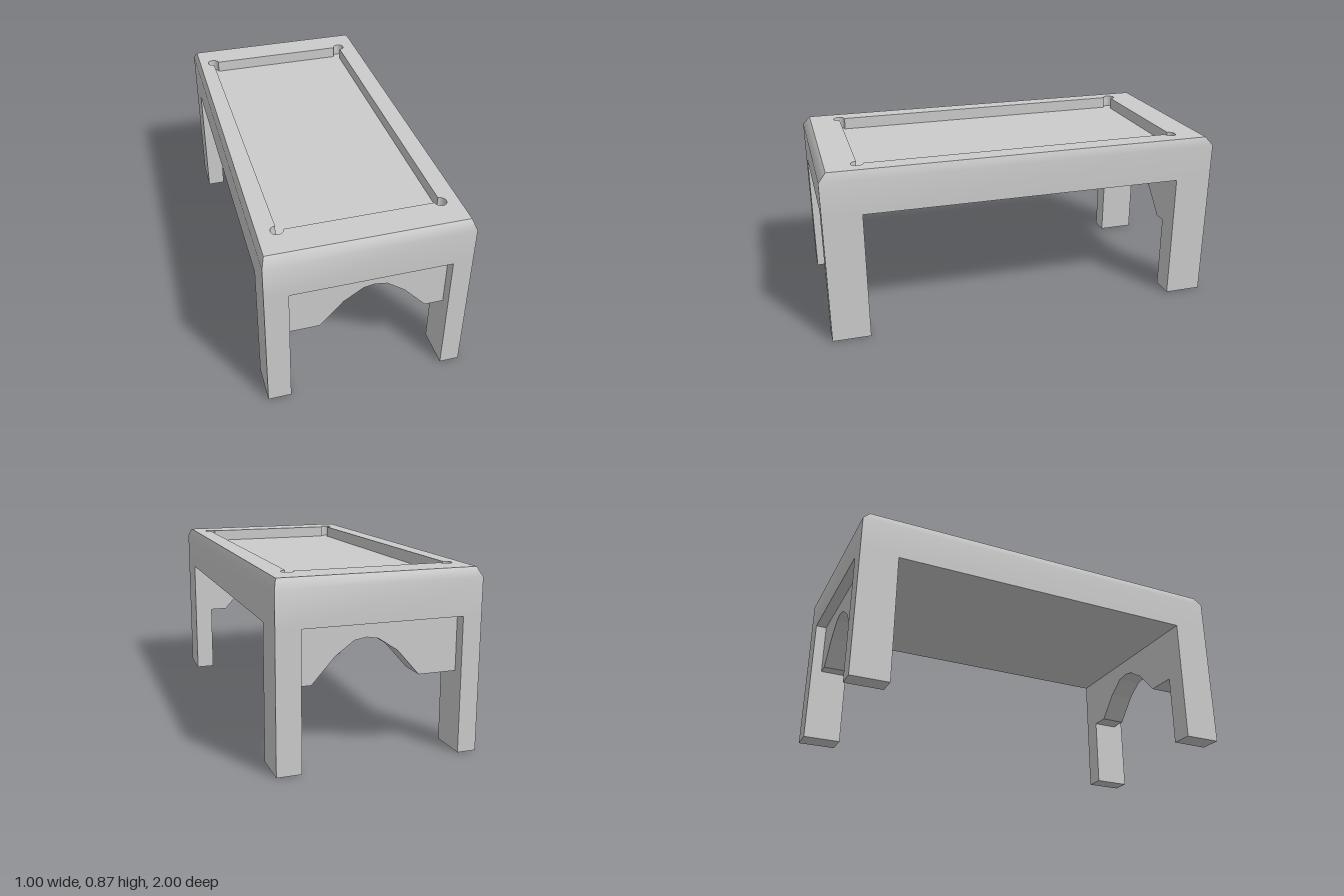
import * as THREE from 'three';

const material = new THREE.MeshStandardMaterial({ color: 0xcccccc });
const UNDER = 0.655, SHOULDER = 0.83, TOP = 0.873, FLOOR = 0.813;

function addMesh(parent, name, geometry) {
  const mesh = new THREE.Mesh(geometry, material);
  mesh.name = name;
  parent.add(mesh);
  return mesh;
}

const toShape = (points) => new THREE.Shape(points.map(([x, y]) => new THREE.Vector2(x, y)));

// Extrude a plan outline given as [x, -z] upward from y0 to y1
function extrudeUp(shape, y0, y1) {
  const geometry = new THREE.ExtrudeGeometry(shape, { depth: y1 - y0, bevelEnabled: false });
  return geometry.rotateX(-Math.PI / 2).translate(0, y0, 0);
}

// Slightly skewed plan of the table, inset by dx and dz, as [x, -z] corners
function planCorners(dx, dz) {
  return [[1, 1], [-1, 1], [-1, -1], [1, -1]].map(([sx, sy]) => {
    const y = sy * (1 - dz);
    return [sx * (0.49 - dx) + 0.01 * y, y];
  });
}

// Outer skin: upright band and chamfer, smooth over the shoulder, sharp at corners
function skinGeometry() {
  const loops = [[UNDER, 0, 0], [SHOULDER, 0, 0], [TOP, 0.016, 0.037]]
    .map(([y, dx, dz]) => planCorners(dx, dz).map(([x, py]) => [x, y, -py]));
  const positions = [], index = [];
  for (let side = 0; side < 4; side++) {
    const start = positions.length / 3;
    for (const loop of loops) positions.push(...loop[side], ...loop[(side + 1) % 4]);
    for (let i = 0; i < 2; i++) {
      const a = start + i * 2;
      index.push(a, a + 1, a + 3, a, a + 3, a + 2);
    }
  }
  const geometry = new THREE.BufferGeometry();
  geometry.setAttribute('position', new THREE.Float32BufferAttribute(positions, 3));
  geometry.setIndex(index);
  geometry.computeVertexNormals();
  return geometry;
}

// Playing-field outline with a round pocket at each corner
function fieldOutline() {
  const points = [], radius = 0.03, steps = 12;
  [[0.385, 0.81], [-0.39, 0.81], [-0.39, -0.81], [0.377, -0.81]].forEach(([cx, cy], k) => {
    for (let i = 0; i <= steps; i++) {
      const angle = (k - 1) * Math.PI / 2 + (i / steps) * Math.PI * 1.5;
      points.push([cx + radius * Math.cos(angle), cy + radius * Math.sin(angle)]);
    }
  });
  return points;
}

// Panel with an arch cut from its lower edge
function archPanel(shiftX, lift) {
  const arch = [[-0.23, 0.373], [-0.12, 0.497], [-0.025, 0.56], [0.03, 0.57],
    [0.09, 0.56], [0.18, 0.495], [0.29, 0.373]].map(([x, y]) => [x + shiftX, y + lift]);
  const shape = toShape([[-0.387, 0.373 + lift], ...arch, [0.383, 0.373 + lift],
    [0.383, UNDER], [-0.387, UNDER]]);
  return new THREE.ExtrudeGeometry(shape, { depth: 0.135, bevelEnabled: false });
}

export function createModel() {
  const model = new THREE.Group();
  model.name = 'table';

  // Table body
  const body = new THREE.Group();
  body.name = 'tableBody';
  model.add(body);
  addMesh(body, 'outerSkin', skinGeometry());

  const rim = toShape(planCorners(0.016, 0.037));
  rim.holes.push(new THREE.Path(fieldOutline().map(([x, y]) => new THREE.Vector2(x, y))));
  addMesh(body, 'rim', extrudeUp(rim, FLOOR, TOP));

  const floor = new THREE.ShapeGeometry(toShape(fieldOutline())).rotateX(-Math.PI / 2);
  addMesh(body, 'playingField', floor.translate(0, FLOOR, 0));

  const underside = new THREE.ShapeGeometry(toShape(planCorners(0, 0))).rotateX(Math.PI / 2);
  underside.scale(1, 1, -1);
  // Mirroring keeps the plan skew; reverse the faces so they look down
  underside.index.array.reverse();
  underside.computeVertexNormals();
  addMesh(body, 'underside', underside.translate(0, UNDER, 0));

  // Legs, following the skewed outer sides
  const outer = planCorners(0, 0);
  const names = ['backLeftLeg', 'backRightLeg', 'frontRightLeg', 'frontLeftLeg'];
  outer.forEach(([x, y], i) => {
    const innerX = x > 0 ? 0.383 : -0.387;
    const innerY = Math.sign(y) * 0.81;
    const outerX = x - 0.01 * (y - innerY);
    const plan = toShape([[x, y], [innerX, y], [innerX, innerY], [outerX, innerY]]);
    addMesh(model, names[i], extrudeUp(plan, 0, UNDER));
  });

  // Arched end panels
  addMesh(model, 'frontArchPanel', archPanel(0, 0)).position.z = 0.81;
  addMesh(model, 'backArchPanel', archPanel(0.03, 0.012)).position.z = -0.945;

  return model;
}
